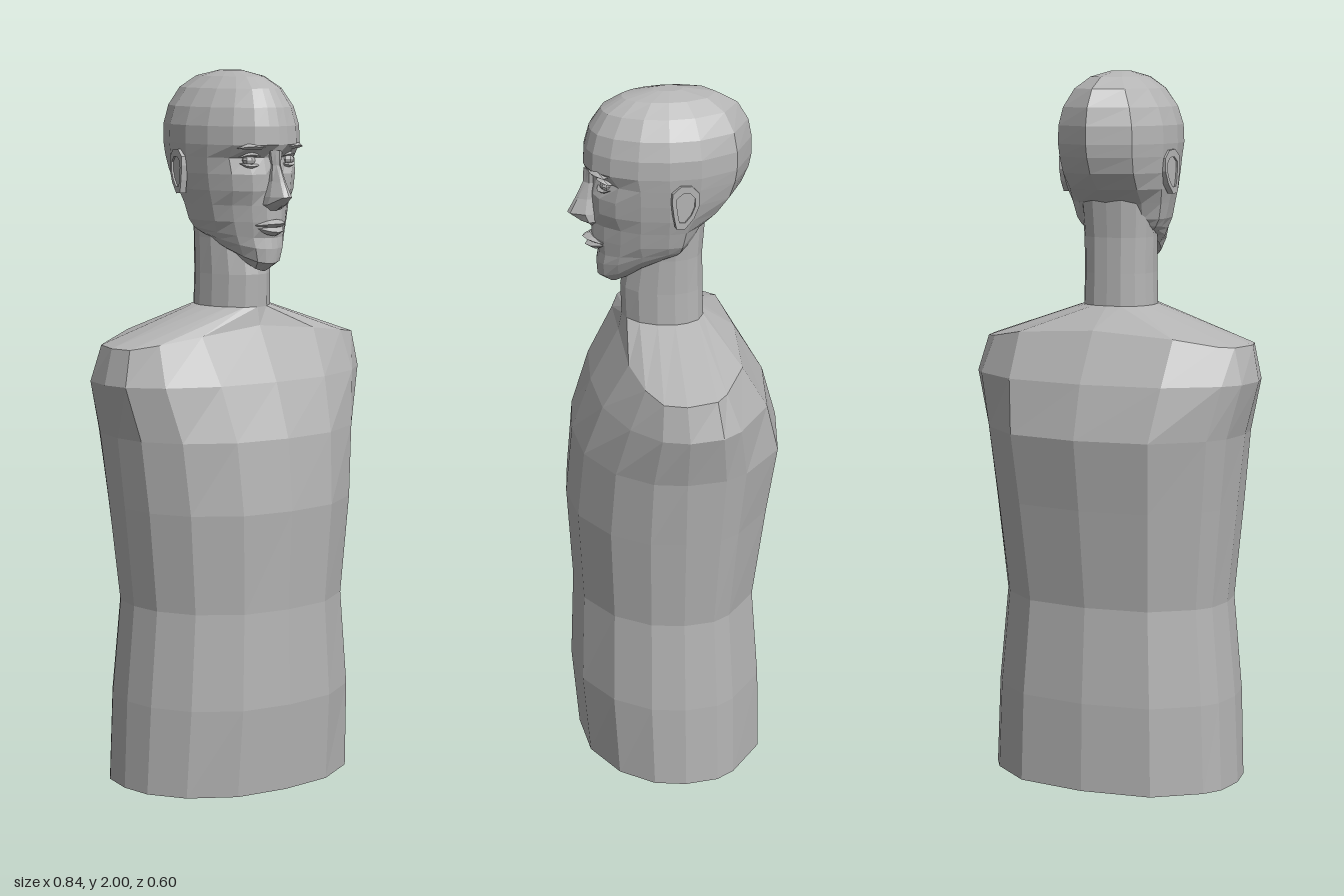
import * as THREE from 'three';

const skin = new THREE.MeshStandardMaterial({ color: 0xb4b4b4, flatShading: true });
skin.name = 'plain grey';

// Skin a stack of closed rings, bottom to top, with a fan over each end.
function loft(name, rings) {
  const out = [];
  const n = rings[0].length;
  const tri = (...pts) => pts.forEach((p) => out.push(...p));
  const mid = (r) => [0, 1, 2].map((k) => r.reduce((s, p) => s + p[k], 0) / n);
  for (let i = 0; i < rings.length - 1; i++) {
    for (let j = 0; j < n; j++) {
      const k = (j + 1) % n;
      const a = rings[i][j], b = rings[i][k], c = rings[i + 1][k], d = rings[i + 1][j];
      tri(a, b, c);
      tri(a, c, d);
    }
  }
  const low = rings[0], top = rings[rings.length - 1];
  const lowMid = mid(low), topMid = mid(top);
  for (let j = 0; j < n; j++) {
    const k = (j + 1) % n;
    tri(low[k], low[j], lowMid);
    tri(top[j], top[k], topMid);
  }
  const g = new THREE.BufferGeometry();
  g.setAttribute('position', new THREE.Float32BufferAttribute(out, 3));
  g.computeVertexNormals();
  const m = new THREE.Mesh(g, skin);
  m.name = name;
  return m;
}

// Complete a half ring running front -> left side -> back.
const mirrorRing = (half) =>
  half.concat(half.slice(1, -1).reverse().map(([x, y, z]) => [-x, y, z]));

// Scale a half profile to a half width, front depth and back depth.
// tilt lifts the ring towards the back.
function ring(profile, [y, w, front, back, tilt = 0]) {
  return profile.map(([px, pz]) => [
    px * w, y + tilt * (1 - Math.max(pz, 0)), pz > 0 ? pz * front : -pz * back,
  ]);
}

const BODY = [[0, 1], [0.42, 0.94], [0.76, 0.68], [0.95, 0.34], [1, 0.02],
  [0.97, -0.34], [0.88, -0.54], [0.55, -0.9], [0, -1]];
const HEAD = [[0, 1], [0.18, 0.985], [0.42, 0.93], [0.68, 0.75], [0.9, 0.45],
  [1, 0.1], [0.97, -0.28], [0.68, -0.74], [0, -1]];
const NECK = [[0, 1], [0.35, 0.93], [0.7, 0.7], [0.93, 0.35], [1, 0],
  [0.93, -0.4], [0.75, -0.75], [0.4, -0.96], [0, -1]];

function makeTorso() {
  const rings = [
    [0, 0.365, 0.275, -0.26], [0.25, 0.355, 0.295, -0.255], [0.52, 0.33, 0.285, -0.235],
    [0.8, 0.358, 0.3, -0.272], [1.0, 0.38, 0.28, -0.303], [1.15, 0.42, 0.225, -0.262],
  ].map((r) => mirrorRing(ring(BODY, r)));
  // shoulder line, higher towards the middle
  rings.push(mirrorRing([
    [0, 1.3, 0.145], [0.19, 1.28, 0.14], [0.31, 1.262, 0.11], [0.38, 1.25, 0.07],
    [0.4, 1.25, 0.01], [0.38, 1.25, -0.075], [0.345, 1.253, -0.105],
    [0.235, 1.275, -0.165], [0, 1.29, -0.18]]));
  rings.push(mirrorRing(ring(NECK, [1.35, 0.105, 0.135, -0.09])));
  return loft('torso', rings);
}

function makeNeck() {
  return loft('neck', [
    [1.34, 0.103, 0.135, -0.09], [1.44, 0.1, 0.138, -0.088],
    [1.54, 0.102, 0.12, -0.086], [1.72, 0.115, 0.08, -0.1],
  ].map((r) => mirrorRing(ring(NECK, r))));
}

function makeHead() {
  const rows = [
    [1.452, 0.05, 0.165, 0.03, 0.09], [1.475, 0.088, 0.2, 0, 0.075],
    [1.515, 0.108, 0.203, -0.02, 0.045], [1.545, 0.118, 0.198, -0.04, 0.025],
    [1.59, 0.13, 0.215, -0.06], [1.635, 0.14, 0.215, -0.09],
    [1.675, 0.15, 0.215, -0.15], [1.72, 0.157, 0.216, -0.195],
    [1.765, 0.162, 0.22, -0.215], [1.8, 0.165, 0.235, -0.222],
    [1.85, 0.163, 0.232, -0.222], [1.9, 0.147, 0.218, -0.212],
    [1.95, 0.112, 0.185, -0.182], [1.982, 0.07, 0.13, -0.125], [1.998, 0.025, 0.045, -0.035],
  ];
  return loft('head', rows.map((r) => {
    const half = ring(HEAD, r);
    // eye sockets and hollow cheeks
    if (r[0] === 1.765) { half[1][2] -= 0.014; half[2][2] -= 0.03; half[3][2] -= 0.012; }
    if (r[0] === 1.635 || r[0] === 1.59) { half[2][2] -= 0.012; half[3][2] -= 0.014; }
    return mirrorRing(half);
  }));
}

// Small diamond-section bar across the face, tapering at both ends.
function faceBar(name, half, y, z, h, d, sag, bow) {
  const rings = [-1, -0.5, 0, 0.5, 1].map((t) => {
    const s = 1 - 0.85 * t * t;
    const cy = y + sag * t * t, cz = z - bow * t * t, x = t * half;
    return [[x, cy + h * s, cz], [x, cy, cz + d * s], [x, cy - h * s, cz], [x, cy, cz - d]];
  });
  return loft(name, rings);
}

function makeNose() {
  return loft('nose', [
    [1.622, 0.014, 0.222], [1.638, 0.034, 0.25], [1.66, 0.031, 0.28],
    [1.7, 0.02, 0.258], [1.745, 0.014, 0.236], [1.785, 0.02, 0.234],
  ].map(([y, w, z]) => mirrorRing([
    [0, y, z], [w * 0.45, y, z - 0.006], [w, y, 0.215 + (z - 0.215) * 0.3], [w, y, 0.17], [0, y, 0.17]])));
}

function makeEar(side) {
  const ear = new THREE.Group();
  ear.name = side > 0 ? 'leftEar' : 'rightEar';
  const outline = [[0.02, 0.02], [0.018, 0.045], [-0.005, 0.064], [-0.035, 0.062], [-0.055, 0.04],
    [-0.055, 0.005], [-0.04, -0.03], [-0.015, -0.058], [0.008, -0.056], [0.015, -0.02]];
  const points = (k) => outline.map(([a, b]) => new THREE.Vector2((a + 0.018) * k - 0.018, b * k));
  const rim = new THREE.Shape(points(1));
  rim.holes.push(new THREE.Path(points(0.68)));
  const add = (name, shape, depth) => {
    const g = new THREE.ExtrudeGeometry(shape, { depth, bevelEnabled: false });
    g.translate(0, 0, -depth / 2);
    const m = new THREE.Mesh(g, skin);
    m.name = name;
    ear.add(m);
  };
  add('earRim', rim, 0.018);
  add('earBowl', new THREE.Shape(points(0.7)), 0.008);
  // shape x runs to the face on either side; the back edge flares outward
  ear.rotation.y = -Math.PI / 2 + side * 0.14;
  ear.position.set(side * 0.162, 1.72, 0);
  return ear;
}

export function createModel() {
  const model = new THREE.Group();
  model.name = 'bust';
  model.add(makeTorso(), makeNeck(), makeHead(), makeNose());

  // mouth
  model.add(faceBar('upperLip', 0.048, 1.587, 0.22, 0.011, 0.021, -0.006, 0.025));
  model.add(faceBar('lowerLip', 0.044, 1.563, 0.214, 0.012, 0.02, 0.01, 0.025));

  for (const side of [1, -1]) {
    // eyeball, eyelids and brow
    const eye = new THREE.Mesh(new THREE.SphereGeometry(0.02, 8, 6), skin);
    eye.name = 'eye';
    eye.scale.set(1, 0.7, 0.8);
    eye.position.set(side * 0.065, 1.758, 0.182);
    const lids = [
      faceBar('upperLid', 0.032, 1.774, 0.194, 0.006, 0.012, -0.008, 0.008),
      faceBar('lowerLid', 0.032, 1.742, 0.194, 0.006, 0.01, 0.008, 0.008),
      faceBar('brow', 0.042, 1.797, 0.212, 0.009, 0.014, -0.005, 0.006),
    ];
    lids.forEach((m) => {
      m.position.x = side * 0.065;
      m.rotation.y = side * 0.3;
      // keep the bar's depth where it was before turning
      m.position.x -= Math.sin(side * 0.3) * 0.2;
      m.position.z = 0.2 * (1 - Math.cos(0.3));
      model.add(m);
    });
    model.add(eye, makeEar(side));
  }
  return model;
}
